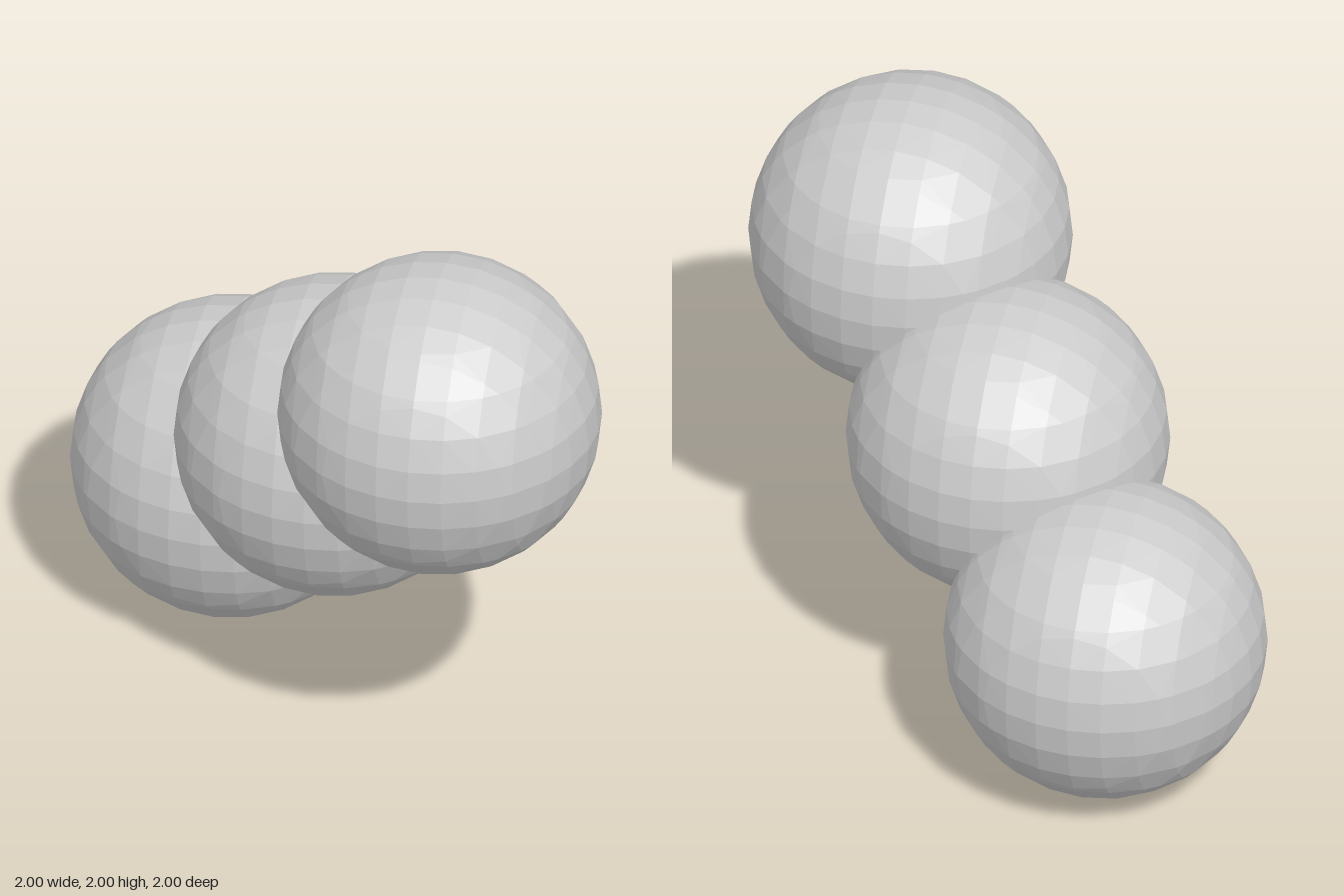
import * as THREE from 'three';
import { ConvexGeometry } from 'three/addons/geometries/ConvexGeometry.js';

const RADIUS = 0.55;
const SPACING = 0.45;
const CELL = SPACING / 4;

// Faceted ball: hull of the points where a cubic lattice's lines pierce a sphere
function latticeBall(radius, cell) {
  const points = [];
  const n = Math.floor(radius / cell);
  for (let i = -n; i <= n; i++) {
    for (let j = -n; j <= n; j++) {
      const a = i * cell, b = j * cell;
      const d = radius * radius - a * a - b * b;
      if (d <= 0) continue;
      const c = Math.sqrt(d);
      for (const s of [c, -c]) {
        points.push(
          new THREE.Vector3(s, a, b),
          new THREE.Vector3(a, s, b),
          new THREE.Vector3(a, b, s)
        );
      }
    }
  }
  return new ConvexGeometry(points);
}

export function createModel() {
  const model = new THREE.Group();
  model.name = 'ballChain';
  const material = new THREE.MeshStandardMaterial({ color: 0xcccccc, flatShading: true });
  const geometry = latticeBall(RADIUS, CELL);

  // Three overlapping balls along the diagonal
  ['lowerBall', 'middleBall', 'upperBall'].forEach((name, i) => {
    const t = (i - 1) * SPACING;
    const ball = new THREE.Mesh(geometry, material);
    ball.name = name;
    ball.position.set(t, 1 + t, t);
    model.add(ball);
  });
  return model;
}
